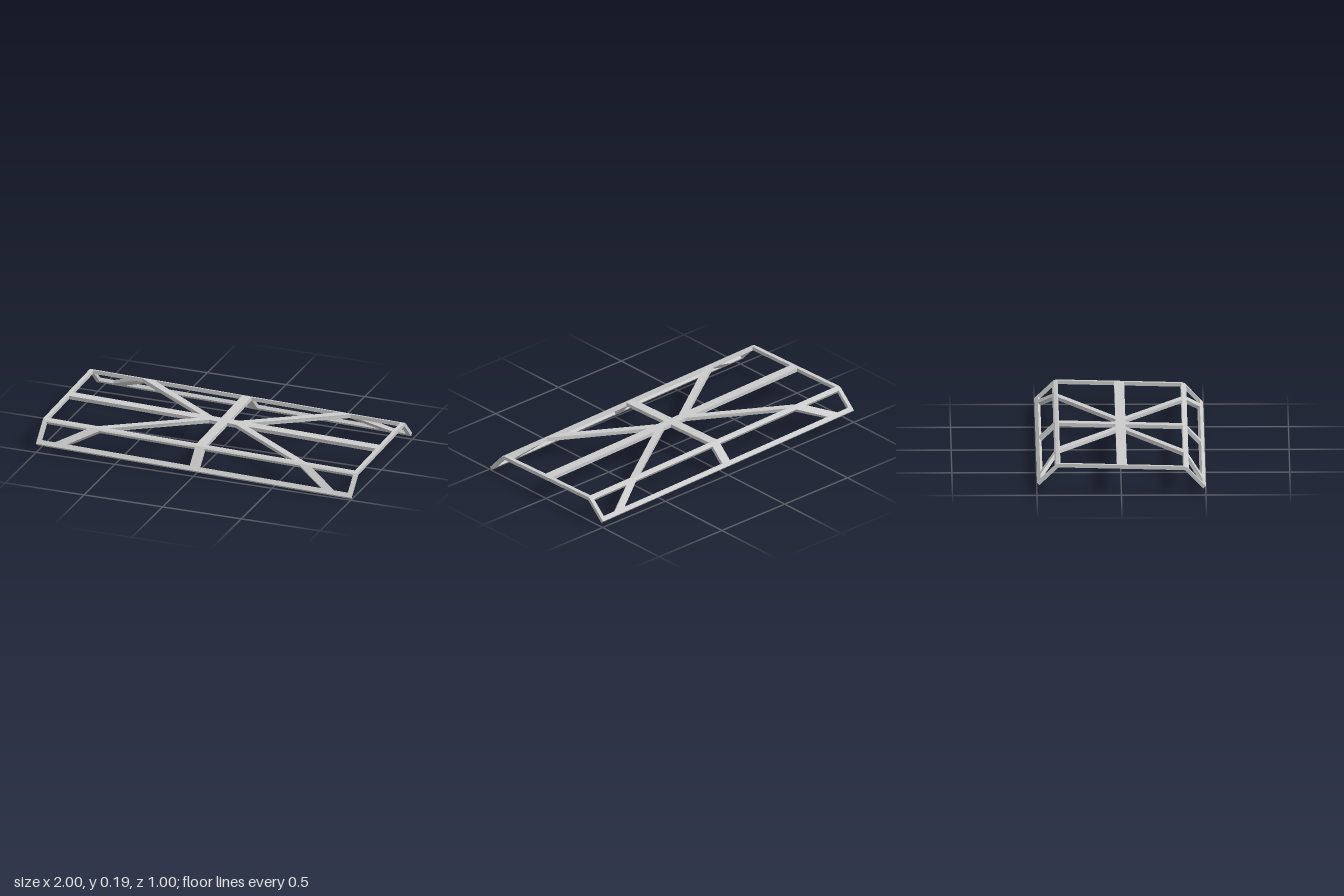
import * as THREE from 'three';

const THICK = 0.022;
// Folded half profile: distance along the sheet, then top and bottom points as [z, y]
const KNOTS = [
  { s: 0, top: [0, 0], bottom: [0, -THICK] },
  { s: 0.372, top: [0.372, 0], bottom: [0.368, -THICK] },
  { s: 0.39, top: [0.389, -0.006], bottom: [0.377, -0.025] },
  { s: 0.547, top: [0.5, -0.117], bottom: [0.4845, -0.1325] },
];
const END = 0.547;

// Place a point of the flat sheet on the folded one
function fold(x, s, side) {
  const a = Math.abs(s);
  let i = 1;
  while (i < KNOTS.length - 1 && a > KNOTS[i].s) i++;
  const p = KNOTS[i - 1], q = KNOTS[i];
  const t = (a - p.s) / (q.s - p.s);
  const z = THREE.MathUtils.lerp(p[side][0], q[side][0], t);
  const y = THREE.MathUtils.lerp(p[side][1], q[side][1], t);
  return [x, y, s < 0 ? -z : z];
}

// A bar between two sheet positions s0 < s1, running from centre x0 to x1
function bar(name, s0, s1, x0, x1, halfWidth, material) {
  const inner = KNOTS.flatMap(k => [k.s, -k.s]).filter(s => s > s0 + 1e-4 && s < s1 - 1e-4);
  const cuts = [...new Set([s0, ...inner, s1])].sort((a, b) => a - b);
  const rings = cuts.map(s => {
    const x = THREE.MathUtils.lerp(x0, x1, (s - s0) / (s1 - s0));
    const a = x - halfWidth, b = x + halfWidth;
    return [fold(a, s, 'top'), fold(b, s, 'top'), fold(b, s, 'bottom'), fold(a, s, 'bottom')];
  });
  const pos = [];
  const quad = (a, b, c, d) => pos.push(...a, ...b, ...c, ...a, ...c, ...d);
  for (let i = 0; i < rings.length - 1; i++) {
    for (let k = 0; k < 4; k++) {
      const n = (k + 1) % 4;
      quad(rings[i][k], rings[i + 1][k], rings[i + 1][n], rings[i][n]);
    }
  }
  quad(...rings[0]);
  quad(...[...rings[rings.length - 1]].reverse());
  const geometry = new THREE.BufferGeometry();
  geometry.setAttribute('position', new THREE.Float32BufferAttribute(pos, 3));
  geometry.computeVertexNormals();
  const mesh = new THREE.Mesh(geometry, material);
  mesh.name = name;
  return mesh;
}

export function createModel() {
  const group = new THREE.Group();
  group.name = 'foldedFrame';
  const material = new THREE.MeshStandardMaterial({ color: 0xcccccc });
  const frame = new THREE.Group();
  frame.name = 'frame';
  const add = (...args) => frame.add(bar(...args, material));

  // Long centre beam and the folded centre rib across it
  add('centreBeam', -0.03, 0.03, 0, 0, 1);
  add('centreRib', -END, END, 0, 0, 0.03);

  // Folded ribs at both ends
  add('leftEndRib', -END, END, 0.9875, 0.9875, 0.0125);
  add('rightEndRib', -END, END, -0.9875, -0.9875, 0.0125);

  // Long rails along the folds and the outer edges
  add('frontFoldRail', 0.366, 0.402, 0, 0, 1);
  add('backFoldRail', -0.402, -0.366, 0, 0, 1);
  add('frontEdgeRail', 0.518, END, 0, 0, 1);
  add('backEdgeRail', -END, -0.518, 0, 0, 1);

  // Diagonal braces, straight along the sheet and bent with it
  const inner = 0.08, outer = 0.87;
  for (const side of [1, -1]) {
    const label = side > 0 ? 'Left' : 'Right';
    add('front' + label + 'Brace', 0, 0.533, side * inner, side * outer, 0.039);
    add('back' + label + 'Brace', -0.533, 0, side * outer, side * inner, 0.039);
  }

  // The whole frame leans slightly to its left and front
  frame.rotation.set(0.025, 0, -0.02);
  frame.position.set(0, 0.166, 0.002);
  group.add(frame);
  return group;
}
